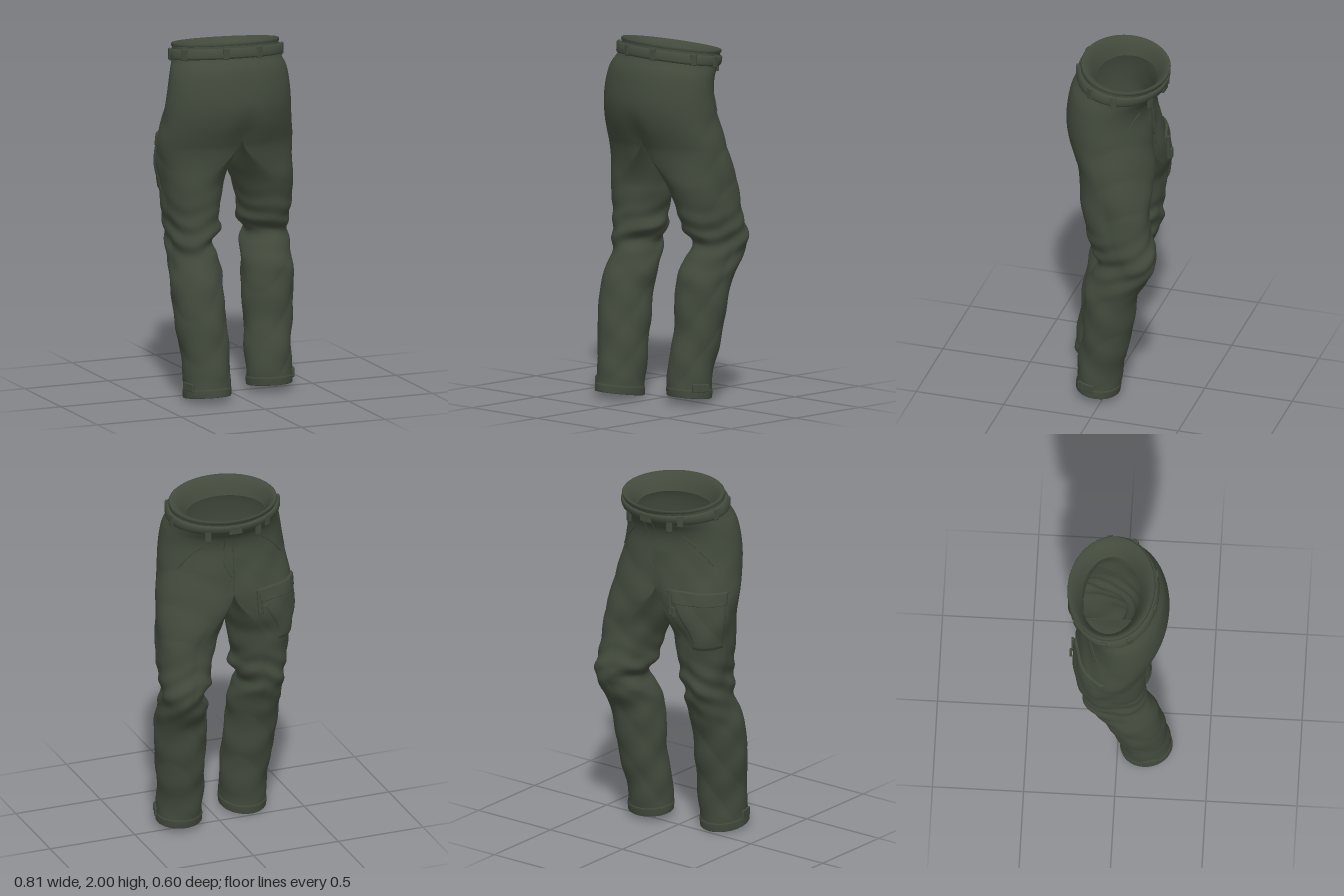
import * as THREE from 'three';
import { mergeGeometries, mergeVertices } from 'three/addons/utils/BufferGeometryUtils.js';
import { RoundedBoxGeometry } from 'three/addons/geometries/RoundedBoxGeometry.js';

const PI = Math.PI, CROTCH = 1.46, WAIST = 1.97;
const HEM = { '1': 0.035, '-1': 0.02 };
const smooth = THREE.MathUtils.smoothstep;

// Cross-section boxes by height: y, xMin, xMax, zMin, zMax
function sections(rows) {
  const curve = new THREE.CubicInterpolant(rows.map(r => r[0]), rows.flatMap(r => r.slice(1)), 4);
  return y => {
    const [x0, x1, z0, z1] = curve.evaluate(y);
    return { x0, x1, cx: (x0 + x1) / 2, rx: (x1 - x0) / 2, cz: (z0 + z1) / 2, rz: (z1 - z0) / 2 };
  };
}
const hips = sections([
  [1.15, -.368, .39, -.245, .155], [1.3, -.39, .382, -.24, .168], [1.4, -.40, .375, -.237, .195],
  [1.45, -.40, .37, -.235, .218], [1.55, -.387, .352, -.222, .256], [1.65, -.375, .342, -.207, .272],
  [1.75, -.36, .332, -.2, .262], [1.82, -.342, .322, -.215, .242], [1.88, -.315, .305, -.25, .205],
  [1.97, -.3, .3, -.285, .188],
]);
const legs = {
  '1': sections([
    [0, .1, .35, -.07, .16], [.2, .095, .35, -.1, .155], [.4, .105, .375, -.15, .12], [.6, .1, .388, -.18, .115],
    [.7, .11, .39, -.205, .105], [.8, .125, .388, -.265, .06], [.88, .16, .39, -.29, .025], [.94, .11, .392, -.295, .06],
    [1.0, .105, .393, -.275, .085], [1.1, .08, .392, -.255, .11], [1.2, .045, .388, -.245, .14], [1.3, .015, .382, -.24, .165],
    [1.45, 0, .372, -.235, .22],
  ]),
  '-1': sections([
    [0, -.325, -.07, .02, .3], [.2, -.325, -.065, 0, .28], [.4, -.35, -.07, -.04, .26], [.6, -.36, -.08, -.08, .23],
    [.7, -.35, -.075, -.11, .2], [.8, -.335, -.09, -.15, .16], [.86, -.338, -.11, -.17, .15], [.94, -.342, -.06, -.18, .155],
    [1.0, -.35, -.07, -.185, .15], [1.1, -.362, -.05, -.195, .152], [1.2, -.372, -.035, -.21, .155], [1.3, -.388, -.015, -.225, .168],
    [1.45, -.40, 0, -.235, .22],
  ]),
};

// Cloth folds: slanted ridges, deepest around the knees
function fold(x, y, z) {
  const knee = Math.exp(-(((y - .9) / .15) ** 2));
  const shin = smooth(y, .02, .15) * (1 - smooth(y, .65, .8));
  const thigh = smooth(y, 1, 1.15) * (1 - smooth(y, 1.55, 1.75)) * (1 - .9 * smooth(z, -.08, .12));
  const a = Math.sin(y * 55 + z * 26 + 2 * Math.sin(x * 17 + 1));
  const b = Math.sin(y * 24 - z * 21 + x * 17);
  const c = Math.abs(Math.sin(y * 13 + z * 12 - x * 13));
  return knee * (.006 * a + .004 * b) + shin * (.003 * b + .006 * (c - .6)) + thigh * (.003 * b + .006 * (c - .6));
}

// Cloth point: a = 0 back (+z), PI/2 outer side, PI front panel (-z)
function cloth(s, y, a, off = 0) {
  const sn = Math.sin(a), cs = Math.cos(a);
  const h = hips(y);
  let x = s * sn > 0 ? h.x1 * s * sn : -h.x0 * s * sn;
  let z = h.cz + h.rz * cs, calm = 1, w = 1, outer = Math.abs(sn);
  if (y < CROTCH) {
    const l = legs[s](y);
    w = smooth(y, 1.17, CROTCH);
    if (sn < 0) { x = 0; calm = 1 - w; outer = 0; }
    x = THREE.MathUtils.lerp(l.cx + s * l.rx * sn, x, w);
    z = THREE.MathUtils.lerp(l.cz + l.rz * cs, z, w);
  }
  // Fuller outer front of thigh and knee
  const bulge = .05 * outer * Math.max(0, -cs) * smooth(y, .5, .85) * (1 - smooth(y, 1.35, 1.65));
  const d = off + bulge + calm * fold(x, y, z);
  const cleft = .022 * w * (1 - smooth(y, CROTCH, 1.66)) * Math.exp(-((x / .06) ** 2));
  x += s * sn * d;
  z += cs * (d - cleft);
  // Waist and hems lean
  const k = smooth(y, 1.6, 1.9), e = 1 - smooth(y, .02, .25);
  const lean = s > 0 ? .09 * (z - .045) : .14 * (z - .16);
  return new THREE.Vector3(x, y + k * (.15 * z - .02 * x) + e * lean, z);
}

// Surface from a point rule over u (around) and v (upward)
function grid(fn, nu, nv, flip = false) {
  const pos = [], idx = [];
  for (let j = 0; j <= nv; j++) for (let i = 0; i <= nu; i++) pos.push(...fn(i / nu, j / nv).toArray());
  for (let j = 0; j < nv; j++) for (let i = 0; i < nu; i++) {
    const p = j * (nu + 1) + i, q = p + 1, r = p + nu + 1, t = r + 1;
    idx.push(...(flip ? [p, t, q, p, r, t] : [p, q, t, p, t, r]));
  }
  const g = new THREE.BufferGeometry();
  g.setAttribute('position', new THREE.Float32BufferAttribute(pos, 3));
  g.setIndex(idx);
  return g;
}
function weld(...parts) {
  const g = mergeVertices(mergeGeometries(parts), 1e-4);
  g.computeVertexNormals();
  return g;
}

export function createModel() {
  const model = new THREE.Group();
  model.name = 'trousers';
  const olive = new THREE.MeshStandardMaterial({ color: 0x424a3c, side: THREE.DoubleSide });
  olive.name = 'dark olive cloth';
  const add = (name, geometry) => {
    const m = new THREE.Mesh(geometry, olive);
    m.name = name;
    model.add(m);
    return m;
  };

  // Seat and both legs as one shell; each leg stops a hair below the crotch so its inner half stays on the midline
  const legTop = CROTCH - 1e-6;
  const leg = s => grid((u, v) => cloth(s, HEM[s] + v * (legTop - HEM[s]), u * 2 * PI), 64, 120, s < 0);
  add('trouserShell', weld(
    grid((u, v) => cloth(1, CROTCH + v * (WAIST - CROTCH), u * 2 * PI), 64, 44), leg(1), leg(-1)));

  // Inner waist facing, sloping in and down from the rim
  add('waistFacing', weld(grid((u, v) => {
    const a = u * 2 * PI, rim = cloth(1, WAIST, a);
    const low = new THREE.Vector3(-.015 + .225 * Math.sin(a), 1.885, -.05 + .16 * Math.cos(a));
    low.y += .15 * low.z;
    const p = rim.clone().lerp(low, v);
    p.y = THREE.MathUtils.lerp(rim.y, low.y, v * v);
    return p;
  }, 64, 8)));

  // Bands following the cloth: profile of [offset, height]
  const band = (name, s, profile) => add(name, weld(grid((u, v) => {
    const [off, y] = profile[Math.round(v * (profile.length - 1))];
    return cloth(s, y, u * 2 * PI, off);
  }, 64, profile.length - 1, s < 0)));
  band('belt', 1, [[-.004, 1.878], [.009, 1.88], [.016, 1.89], [.018, 1.908], [.016, 1.926], [.009, 1.936], [-.004, 1.938]]);
  band('waistbandEdge', 1, [[-.003, 1.948], [.004, 1.953], [.004, 1.965], [0, WAIST]]);
  for (const s of [1, -1]) {
    const y = HEM[s], side = s > 0 ? 'left' : 'right';
    band(side + 'Hem', s, [[0, y], [.003, y + .003], [.004, y + .04], [.003, y + .047], [-.002, y + .05]]);
    // Lining closing the leg just inside the hem
    const centre = cloth(s, y + .02, 0).add(cloth(s, y + .02, PI)).multiplyScalar(.5);
    add(side + 'HemLining', weld(grid((u, v) => cloth(s, y + .02, u * 2 * PI).lerp(centre, v), 64, 2, s < 0)));
  }

  // Small boxes standing on the cloth
  const stud = (name, s, y, a, off, w, h, d, roll = 0) => {
    const m = add(name, new RoundedBoxGeometry(w, h, d, 2, Math.min(w, h, d) * .35));
    const t = cloth(s, y, a + .05).sub(cloth(s, y, a - .05)).multiplyScalar(s);
    m.position.copy(cloth(s, y, a, off));
    m.rotation.set(0, Math.atan2(-t.z, t.x), roll, 'YXZ');
  };
  for (const a of [.1, .36, .55, 1.2, 1.45, 1.64, 1.9]) stud('beltLoop', 1, 1.908, a * PI, .014, .036, .066, .016);
  for (const a of [.83, 1.13]) stud('frontBeltLoop', 1, 1.89, a * PI, .013, .036, .1, .018);
  stud('waistButtonTab', 1, 1.91, .985 * PI, .012, .075, .052, .016);
  stud('leftCuffTab', 1, .095, .4 * PI, .005, .1, .045, .014);
  stud('leftCuffButton', 1, .095, .32 * PI, .01, .03, .05, .014);
  stud('rightCuffTab', -1, .085, .42 * PI, .002, .09, .045, .012);

  // Cargo pocket and flap, padded patches on the right thigh
  const patch = (name, a0, a1, y0, y1, lift) => add(name, weld(grid((u, v) => {
    const edge = Math.min(u, 1 - u, v, 1 - v);
    return cloth(-1, y0 + v * (y1 - y0), (a0 + u * (a1 - a0)) * PI, -.004 + (lift + .004) * smooth(edge, 0, .08));
  }, 36, 36, true)));
  patch('cargoPocket', .58, .91, 1.13, 1.44, .008);
  patch('cargoPocketFlap', .57, .92, 1.39, 1.47, .012);
  stud('pocketZipPull', -1, 1.4, .91 * PI, .012, .02, .15, .016, .08);
  stud('pocketZipEnd', -1, 1.35, .91 * PI, .018, .028, .06, .014, .08);

  // Raised seams along the cloth: list of [height, angle]
  const seam = (name, s, path, r = .003) => add(name, new THREE.TubeGeometry(
    new THREE.CatmullRomCurve3(path.map(([y, a]) => cloth(s, y, a * PI, .001))), 40, r, 6));
  for (const s of [1, -1])
    seam(s > 0 ? 'leftSlantPocket' : 'rightSlantPocket', s, [[1.78, .84], [1.73, .79], [1.67, .735], [1.61, .68]], .004);
  seam('flySeam', 1, [[1.87, .94], [1.75, .95], [1.64, .95], [1.58, .975], [1.55, 1]]);
  seam('centreSeam', 1, [[1.88, 1], [1.8, 1], [1.75, 1], [1.65, 1], [1.55, 1], [1.47, 1]]);

  return model;
}
